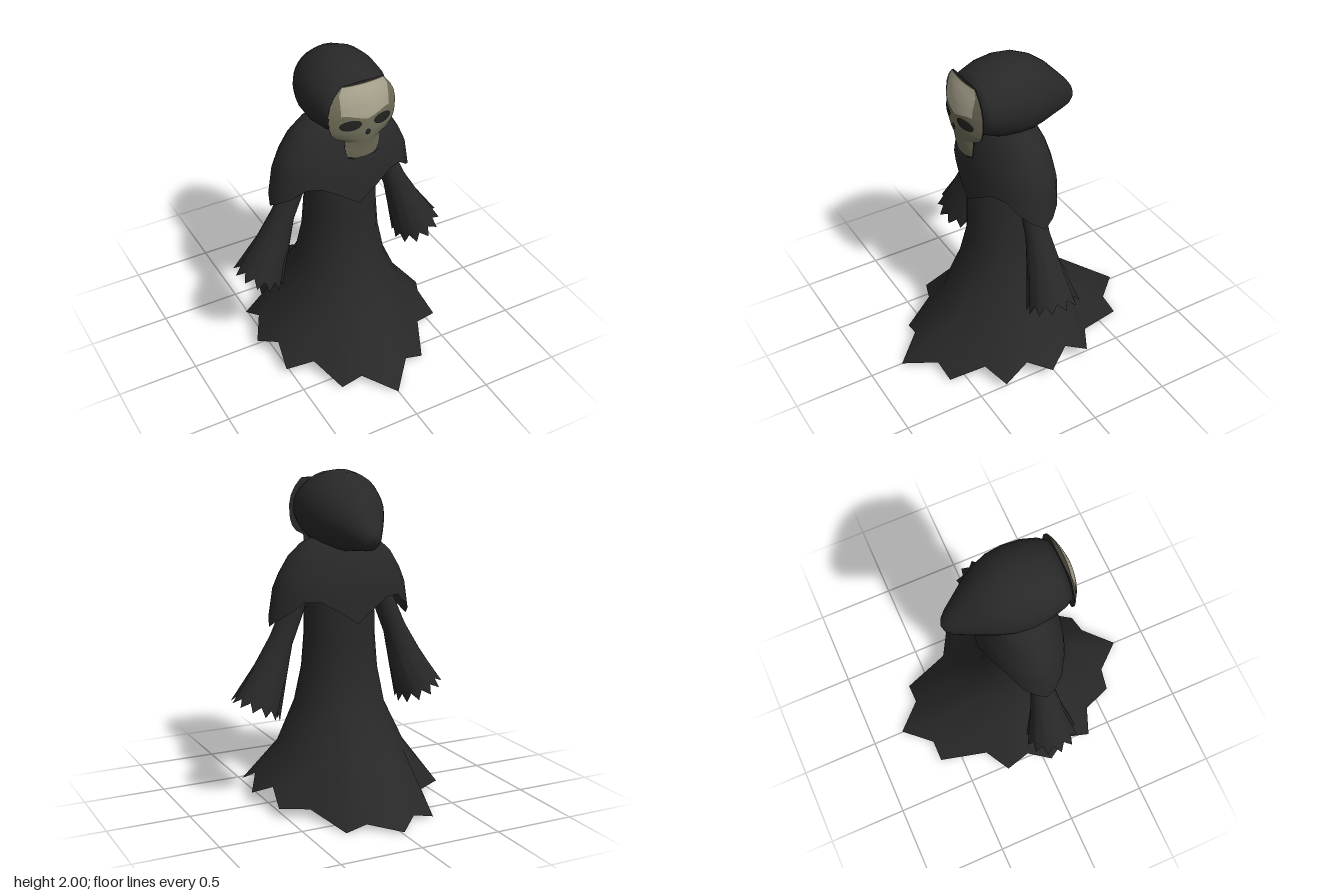
import * as THREE from 'three';

const cloth = new THREE.MeshStandardMaterial({ name: 'black cloth', color: 0x282828, side: THREE.DoubleSide });
const bone = new THREE.MeshStandardMaterial({ name: 'shaded bone', color: 0x716e59, side: THREE.DoubleSide });
const paleBone = new THREE.MeshStandardMaterial({ name: 'pale bone', color: 0xaaa48f, side: THREE.DoubleSide });
const socket = new THREE.MeshStandardMaterial({ name: 'dark socket', color: 0x222221, side: THREE.DoubleSide });

// Skin of quads through rings of points, each ring closed on itself
function loft(rings) {
  const n = rings[0].length, index = [];
  for (let i = 0; i < rings.length - 1; i++) {
    for (let j = 0; j < n; j++) {
      const a = i * n + j, b = i * n + (j + 1) % n;
      index.push(a, a + n, b, b, a + n, b + n);
    }
  }
  const g = new THREE.BufferGeometry();
  g.setAttribute('position', new THREE.Float32BufferAttribute(rings.flat(2), 3));
  g.setIndex(index);
  g.computeVertexNormals();
  return g;
}

// One ring: f receives sine, cosine and the step number
const ring = (n, f) => Array.from({ length: n }, (_, j) => {
  const a = (j / n) * Math.PI * 2;
  return f(Math.sin(a), Math.cos(a), j);
});

// Horizontal oval from half width, front z and back z
const oval = ([y, rx, zf, zb]) => ring(24, (s, c) => [rx * s, y, (zf + zb) / 2 + c * (zf - zb) / 2]);

// Value from a table of [key, value] rows, straight between rows
function lookup(table, k) {
  let i = 0;
  while (i < table.length - 2 && k > table[i + 1][0]) i++;
  const [k0, v0] = table[i], [k1, v1] = table[i + 1];
  return v0 + (v1 - v0) * THREE.MathUtils.clamp((k - k0) / (k1 - k0), 0, 1);
}

// Mask outline half widths and centre depths by height
const maskWidth = [[1.46, 0.09], [1.51, 0.108], [1.585, 0.115], [1.61, 0.165], [1.645, 0.193],
  [1.69, 0.207], [1.77, 0.212], [1.83, 0.2], [1.88, 0.175], [1.92, 0.143], [1.935, 0.125]];
const maskFront = [[1.46, 0.322], [1.53, 0.335], [1.6, 0.352], [1.65, 0.36], [1.76, 0.36],
  [1.83, 0.348], [1.88, 0.333], [1.935, 0.308]];
const maskEdge = [[1.46, 0.304], [1.58, 0.304], [1.62, 0.295], [1.935, 0.295]];

function maskZ(x, y) {
  const t = Math.min(1, Math.abs(x) / lookup(maskWidth, y));
  const edge = lookup(maskEdge, y);
  return edge + (lookup(maskFront, y) - edge) * (1 - t * t);
}

// Move every vertex of a geometry by a rule
function bend(g, rule) {
  const p = g.attributes.position;
  for (let i = 0; i < p.count; i++) p.setXYZ(i, ...rule(p.getX(i), p.getY(i), p.getZ(i)));
  g.computeVertexNormals();
  return g;
}

export function createModel() {
  const model = new THREE.Group();
  model.name = 'hooded figure';
  const add = (name, geometry, material) => {
    const mesh = new THREE.Mesh(geometry, material);
    mesh.name = name;
    model.add(mesh);
    return mesh;
  };

  // Robe: oval sections ending in a ragged hem of twelve points
  const hem = [[0, 0.005, 0.79], [0.158, 0.06, 0.615], [0.285, 0.01, 0.6], [0.375, 0.1, 0.4],
    [0.535, 0.055, 0.34], [0.51, 0.14, 0.18], [0.59, 0.07, 0.04], [0.51, 0.14, -0.1],
    [0.535, 0.06, -0.25], [0.375, 0.06, -0.34], [0.285, 0.005, -0.635], [0.155, 0.035, -0.635], [0, 0.02, -0.8]];
  const hemRing = [...hem, ...hem.slice(1, 12).reverse().map(([x, y, z]) => [-x, y, z])];
  add('robe', loft([
    ...[[1.5, 0.19, 0.2, -0.13], [1.24, 0.21, 0.26, -0.18], [1.0, 0.215, 0.27, -0.19], [0.8, 0.235, 0.27, -0.19],
      [0.58, 0.275, 0.335, -0.25], [0.32, 0.39, 0.44, -0.4]].map(oval),
    hemRing,
  ]), cloth);

  // Shoulder cape, dipping at the front, back and sides
  const dips = [1.11, 1.19, 1.25, 1.25, 1.18, 1.135, 1.09];
  add('shoulderCape', loft([
    ...[[1.612, 0.001, 0.035, 0.033], [1.605, 0.18, 0.13, -0.075], [1.57, 0.255, 0.175, -0.125], [1.5, 0.33, 0.215, -0.16],
      [1.4, 0.39, 0.25, -0.19], [1.31, 0.428, 0.273, -0.205]].map(oval),
    ring(24, (s, c, j) => {
      const k = j % 12;
      const y = dips[k <= 6 ? k : 12 - k];
      const grow = (1.31 - y) / 0.22;
      return [s * (0.428 + 0.034 * grow), y, 0.036 + c * (0.239 + 0.015 * grow)];
    }),
  ]), cloth);

  // Flared sleeves with jagged cuffs
  const sleeveSections = [[0.25, 1.36, 0.07, 0.07], [0.3, 1.2, 0.066, 0.07], [0.385, 1.0, 0.072, 0.072],
    [0.455, 0.82, 0.105, 0.1]];
  const sleeve = loft([
    ...sleeveSections.map(([x, y, r, d]) => ring(24, (s, c) => [x + 0.91 * r * s, y + 0.42 * r * s, 0.04 + d * c])),
    ring(24, (s, c, j) => {
      const tip = j % 2 === 0, r = tip ? 0.158 : 0.132, up = tip ? 0 : 0.045;
      return [0.56 - up * 0.42 + 0.91 * r * s, 0.585 + up * 0.91 + 0.42 * r * s, 0.035 + r * 1.03 * c];
    }),
  ]);
  add('leftSleeve', sleeve, cloth);
  add('rightSleeve', sleeve, cloth).scale.x = -1;

  // Legs under the robe
  for (const side of [1, -1]) {
    add(side > 0 ? 'leftLeg' : 'rightLeg', new THREE.BoxGeometry(0.1, 0.7, 0.12), cloth)
      .position.set(side * 0.14, 0.41, 0.04);
  }

  // Hood: sections from the face back to the drooping tip [z, half width, top, bottom]
  const hood = [[0.29, 0.001, 1.77, 1.768], [0.29, 0.185, 1.905, 1.615], [0.24, 0.212, 1.945, 1.585], [0.15, 0.237, 1.984, 1.545],
    [0.04, 0.245, 2.0, 1.52], [-0.06, 0.235, 1.988, 1.52], [-0.15, 0.203, 1.95, 1.535], [-0.23, 0.16, 1.89, 1.548],
    [-0.31, 0.11, 1.805, 1.557], [-0.37, 0.072, 1.74, 1.567], [-0.405, 0.04, 1.69, 1.59], [-0.42, 0.001, 1.65, 1.648]];
  add('hood', loft(hood.map(([z, rx, top, low]) =>
    ring(28, (s, c) => [-rx * s, (top + low) / 2 + c * (top - low) / 2, z]))), cloth);

  // Skull mask: domed front and flat dark back
  const grid = () => new THREE.PlaneGeometry(2, 0.475, 16, 38);
  const place = (x, y) => [x * lookup(maskWidth, y + 1.6975), y + 1.6975];
  add('skullMask', bend(grid(), (x, y) => {
    const [px, py] = place(x, y);
    return [px, py, maskZ(px, py)];
  }), bone);
  add('maskBack', bend(grid().rotateY(Math.PI), (x, y) => {
    const [px, py] = place(x, y);
    return [px, py, lookup(maskEdge, py) - 0.006];
  }), cloth);

  // Pale forehead plate with a slight dip between the brows
  add('forehead', bend(new THREE.PlaneGeometry(2, 1, 14, 12), (x, y) => {
    const t = y + 0.5;
    const low = 1.735 + 0.035 * Math.min(1, Math.abs(x) * 1.3);
    const py = low + t * (1.93 - low);
    const px = x * (t > 0.75 ? 0.15 - (t - 0.75) * 0.08 : 0.15);
    return [px, py, maskZ(px, py) + 0.003];
  }), paleBone);

  // Eye sockets, nose hole and jaw notches laid on the mask
  const patch = (name, cx, cy, rx, ry, tilt) =>
    add(name, bend(new THREE.RingGeometry(0, 1, 20, 4), (x, y) => {
      const px = cx + x * rx, py = cy + y * ry + x * tilt;
      return [px, py, maskZ(px, py) + 0.005];
    }), socket);
  for (const side of [1, -1]) {
    const word = side > 0 ? 'left' : 'right';
    patch(word + 'EyeSocket', side * 0.1, 1.708, 0.062, 0.033, side * -0.004);
    patch(word + 'JawNotch', side * 0.075, 1.468, 0.022, 0.008, side * 0.006);
  }
  patch('noseHole', 0, 1.652, 0.016, 0.02, 0);

  return model;
}
